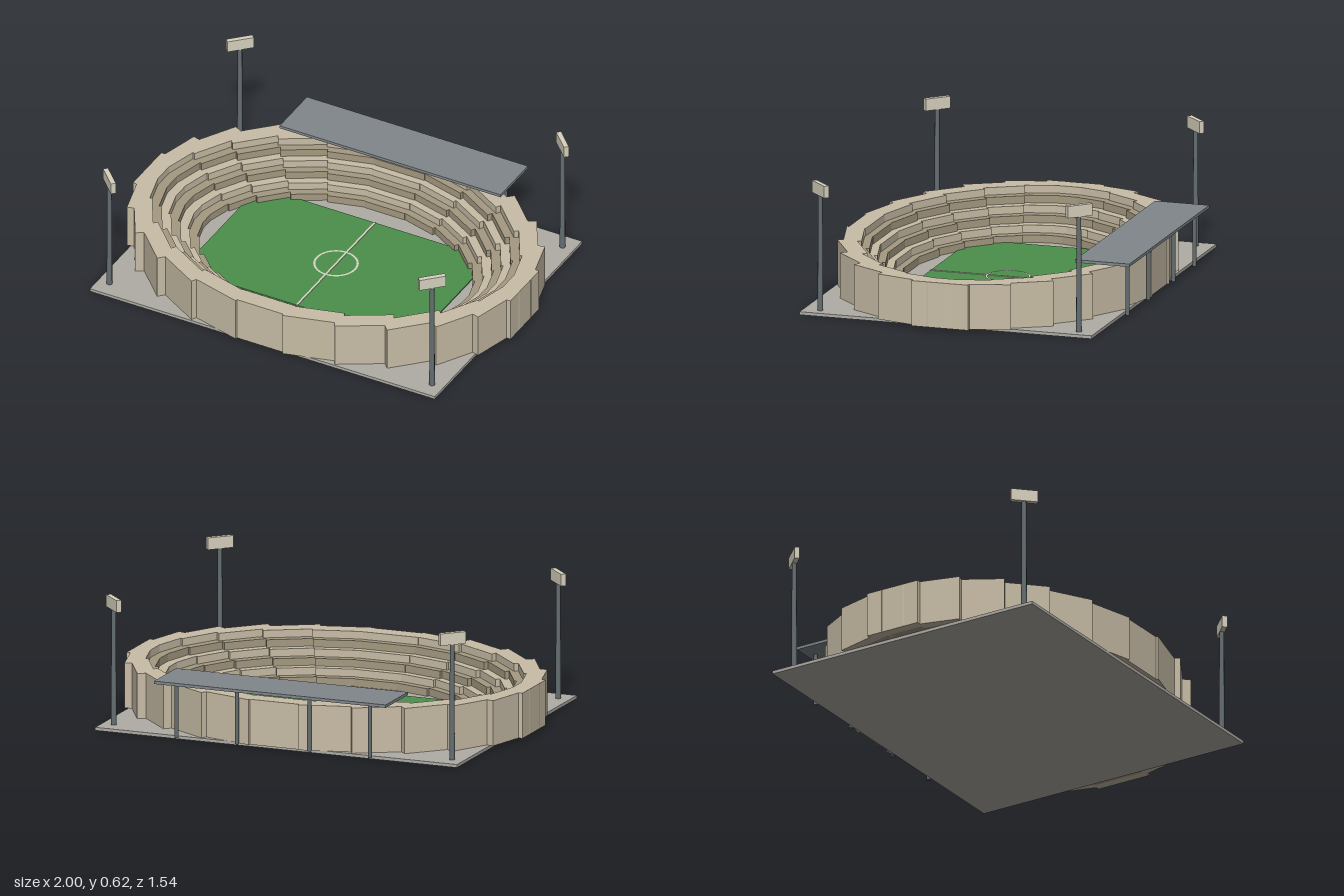
import * as THREE from 'three';

const mat = (color) => new THREE.MeshStandardMaterial({ color });
const CZ = 0.018;     // centre of the ground in z
const GROUND = 0.015; // top of the base slab

export function createModel() {
  const model = new THREE.Group();
  model.name = 'stadium';
  const sand = mat(0xc8bda6), darkSand = mat(0xa59a82), concrete = mat(0xb0ada6);
  const grass = mat(0x4c8f4c), paint = mat(0xd8d6c2), steel = mat(0x667074);
  const roofGrey = mat(0x80878b), lampWhite = mat(0xd8d2be);

  const add = (parent, name, geometry, material, x, y, z, ry = 0) => {
    const mesh = new THREE.Mesh(geometry, material);
    mesh.name = name;
    mesh.position.set(x, y, z);
    mesh.rotation.y = ry;
    parent.add(mesh);
    return mesh;
  };
  const group = (name) => {
    const g = new THREE.Group();
    g.name = name;
    model.add(g);
    return g;
  };

  // Base slab, pitch and markings
  add(model, 'baseSlab', new THREE.BoxGeometry(1.826, GROUND, 1.432), concrete, 0, GROUND / 2, CZ);
  add(model, 'pitch', new THREE.BoxGeometry(1.226, 0.006, 0.76), grass, 0, GROUND + 0.003, CZ);
  add(model, 'halfwayLine', new THREE.BoxGeometry(0.01, 0.003, 0.76), paint, 0, 0.0225, CZ);
  const ring = new THREE.RingGeometry(0.096, 0.106, 40);
  ring.rotateX(-Math.PI / 2);
  add(model, 'centreCircle', ring, paint, 0, 0.0245, CZ);

  // Stands: stepped tiers of straight blocks around an ellipse
  const TIERS = 6, BLOCKS = 24, DEPTH = 0.086;
  const stands = group('stands');
  for (let k = 0; k < TIERS; k++) {
    const tier = new THREE.Group();
    tier.name = 'tier' + (k + 1);
    stands.add(tier);
    const rx = 0.727 + 0.046 * k;
    const rz = 0.515 + 0.036 * k;
    const height = 0.217 * (k + 1) / TIERS;
    const width = rx * (2 * Math.PI / BLOCKS) * 1.11;
    const block = new THREE.BoxGeometry(DEPTH, height, width);
    for (let i = 0; i < BLOCKS; i++) {
      const a = i / BLOCKS * Math.PI * 2;
      add(tier, 'standBlock', block, k % 2 ? sand : darkSand,
        rx * Math.cos(a), GROUND + height / 2, CZ + rz * Math.sin(a), -a);
    }
  }

  // Roof over the back stand, on four columns
  const roof = group('roof');
  add(roof, 'roofPanel', new THREE.BoxGeometry(1.17, 0.014, 0.266), roofGrey, 0, 0.279, -0.64);
  const column = new THREE.CylinderGeometry(0.01, 0.01, 0.257, 8);
  for (const x of [-0.488, -0.183, 0.183, 0.488])
    add(roof, 'roofColumn', column, steel, x, GROUND + 0.1285, -0.732);

  // Floodlights at the four corners, turned toward the centre
  const mast = new THREE.CylinderGeometry(0.011, 0.014, 0.56, 8);
  const lamp = new THREE.BoxGeometry(0.024, 0.057, 0.128);
  for (const sx of [-1, 1]) for (const sz of [-1, 1]) {
    const light = group('floodlight');
    light.position.set(sx * 0.854, 0, CZ + sz * 0.634);
    add(light, 'mast', mast, steel, 0, GROUND + 0.28, 0);
    add(light, 'lampPanel', lamp, lampWhite, 0, 0.596, 0, -Math.atan2(sz, sx));
  }
  return model;
}
